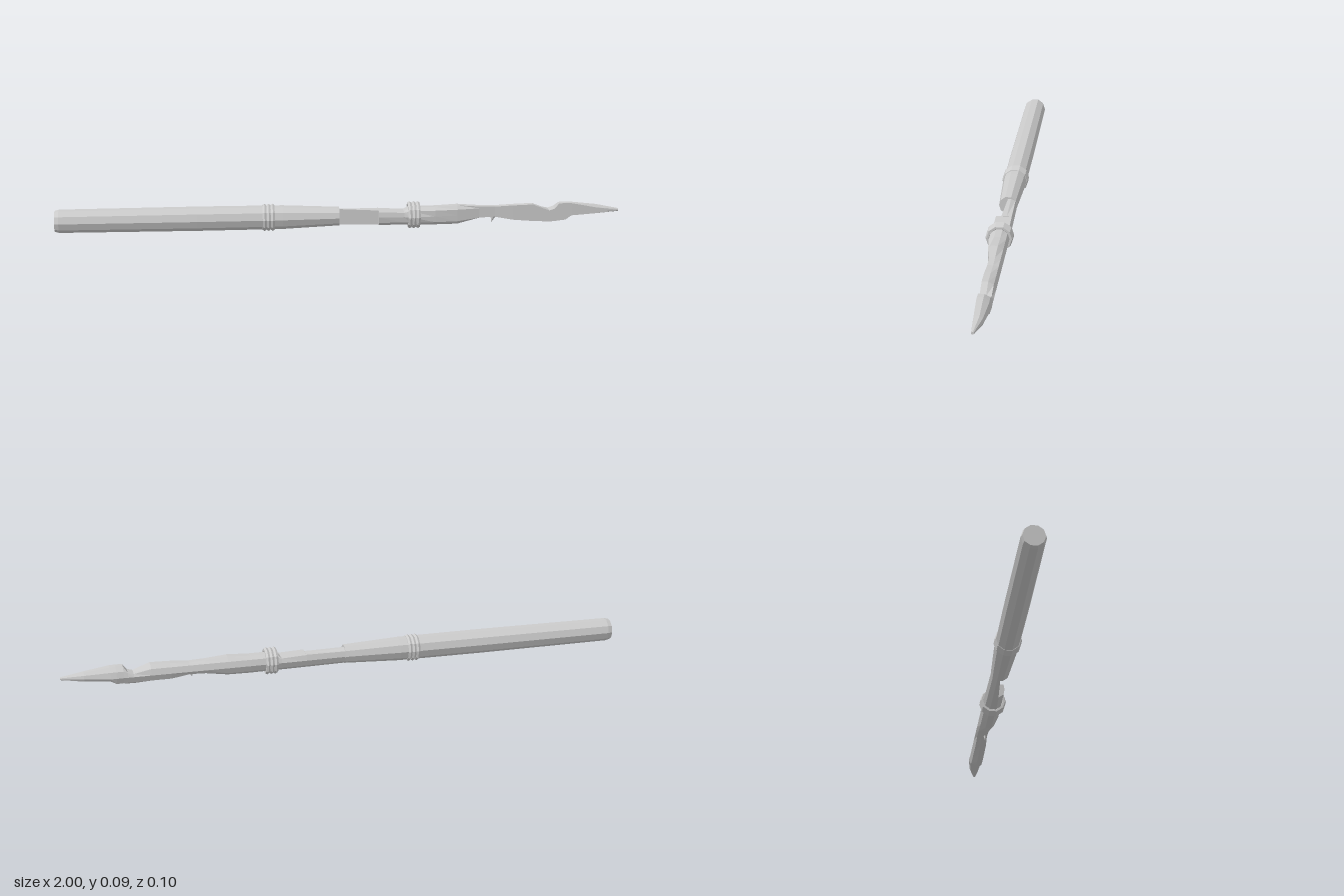
import * as THREE from 'three';

const SIDES = 10;
const CY = 0.047;

// Ten-sided section in the yz plane, chopped flat by top, bottom and front limits.
function section({ x, r, top = 1, bottom = -1, front = 1, y = CY, z = 0 }) {
  const ring = [];
  for (let j = 0; j < SIDES; j++) {
    const a = (j / SIDES) * Math.PI * 2;
    ring.push(new THREE.Vector3(
      x,
      Math.max(bottom, Math.min(top, y + r * Math.sin(a))),
      Math.min(front, z + r * Math.cos(a)),
    ));
  }
  return ring;
}

// Closed faceted solid running along x through the given sections.
function loft(stations) {
  const rings = stations.map(section);
  const pos = [];
  const tri = (...pts) => pts.forEach((p) => pos.push(p.x, p.y, p.z));
  const middle = (ring) => ring.reduce((s, p) => s.add(p), new THREE.Vector3()).divideScalar(SIDES);
  const first = rings[0], last = rings[rings.length - 1];
  const c0 = middle(first), c1 = middle(last);
  for (let j = 0; j < SIDES; j++) {
    const k = (j + 1) % SIDES;
    for (let i = 0; i < rings.length - 1; i++) {
      const a = rings[i], b = rings[i + 1];
      tri(a[j], b[j], a[k]);
      tri(b[j], b[k], a[k]);
    }
    tri(c0, first[j], first[k]);
    tri(c1, last[k], last[j]);
  }
  const geo = new THREE.BufferGeometry();
  geo.setAttribute('position', new THREE.Float32BufferAttribute(pos, 3));
  geo.computeVertexNormals();
  return geo;
}

export function createModel() {
  const group = new THREE.Group();
  const material = new THREE.MeshStandardMaterial({ color: 0xcccccc, flatShading: true });
  const add = (name, geometry, parent = group) => {
    const mesh = new THREE.Mesh(geometry, material);
    mesh.name = name;
    parent.add(mesh);
    return mesh;
  };

  // Handle: bevelled butt, slight swell, then a taper to the broken edge
  add('handle', loft([
    { x: -1, r: 0.037 },
    { x: -0.985, r: 0.041 },
    { x: -0.5, r: 0.043 },
    { x: -0.2, r: 0.042 },
    { x: 0, r: 0.033 },
  ]));

  // Neck: front half split away, leaving a flat face
  add('splitNeck', loft([
    { x: -0.01, r: 0.032, front: 0, top: 0.073 },
    { x: 0.14, r: 0.034, front: 0.009, top: 0.067 },
  ]));

  // Fore shaft and splintered point
  add('splinteredPoint', loft([
    { x: 0.14, r: 0.034, front: 0.031, top: 0.066 },
    { x: 0.23, r: 0.035, front: 0.031, top: 0.062 },
    { x: 0.25, r: 0.035, top: 0.078 },
    { x: 0.34, r: 0.036, front: 0.03, top: 0.077 },
    { x: 0.42, r: 0.036, front: 0.022, bottom: 0.014 },
    { x: 0.5, r: 0.036, front: 0.009, bottom: 0.034, top: 0.075 },
    { x: 0.555, r: 0.036, front: 0.008, bottom: 0.036, top: 0.073 },
    { x: 0.62, r: 0.036, front: 0.01, bottom: 0.024, top: 0.077 },
    { x: 0.69, r: 0.036, front: 0.01, bottom: 0.018, top: 0.079 },
    { x: 0.75, r: 0.036, front: 0.01, bottom: 0.015, top: 0.056 },
    { x: 0.77, r: 0.036, front: 0.01, bottom: 0.016, top: 0.062 },
    { x: 0.785, r: 0.036, front: 0.01, bottom: 0.018, top: 0.082 },
    { x: 0.81, r: 0.037, front: 0.01, bottom: 0.021, top: 0.084 },
    { x: 0.83, r: 0.036, front: 0.01, bottom: 0.036, top: 0.083 },
    { x: 0.92, r: 0.021, front: 0.008, bottom: 0.042, y: 0.051, z: -0.005 },
    { x: 1, r: 0.005, y: 0.052 },
  ]));

  // Small barb hanging under the point
  const barb = add('barb', new THREE.ConeGeometry(0.013, 0.034, 4));
  barb.scale.z = 0.6;
  barb.rotation.z = Math.PI - 0.25;
  barb.position.set(0.548, 0.03, 0);

  // Two bindings of three coils each
  for (const [name, x] of [['rearBinding', -0.25], ['frontBinding', 0.265]]) {
    const binding = new THREE.Group();
    binding.name = name;
    for (let i = -1; i <= 1; i++) {
      const coil = add('coil', new THREE.TorusGeometry(0.04, 0.008, 6, SIDES), binding);
      coil.rotation.y = Math.PI / 2;
      coil.position.set(x + i * 0.0145, CY, 0);
    }
    group.add(binding);
  }
  return group;
}
